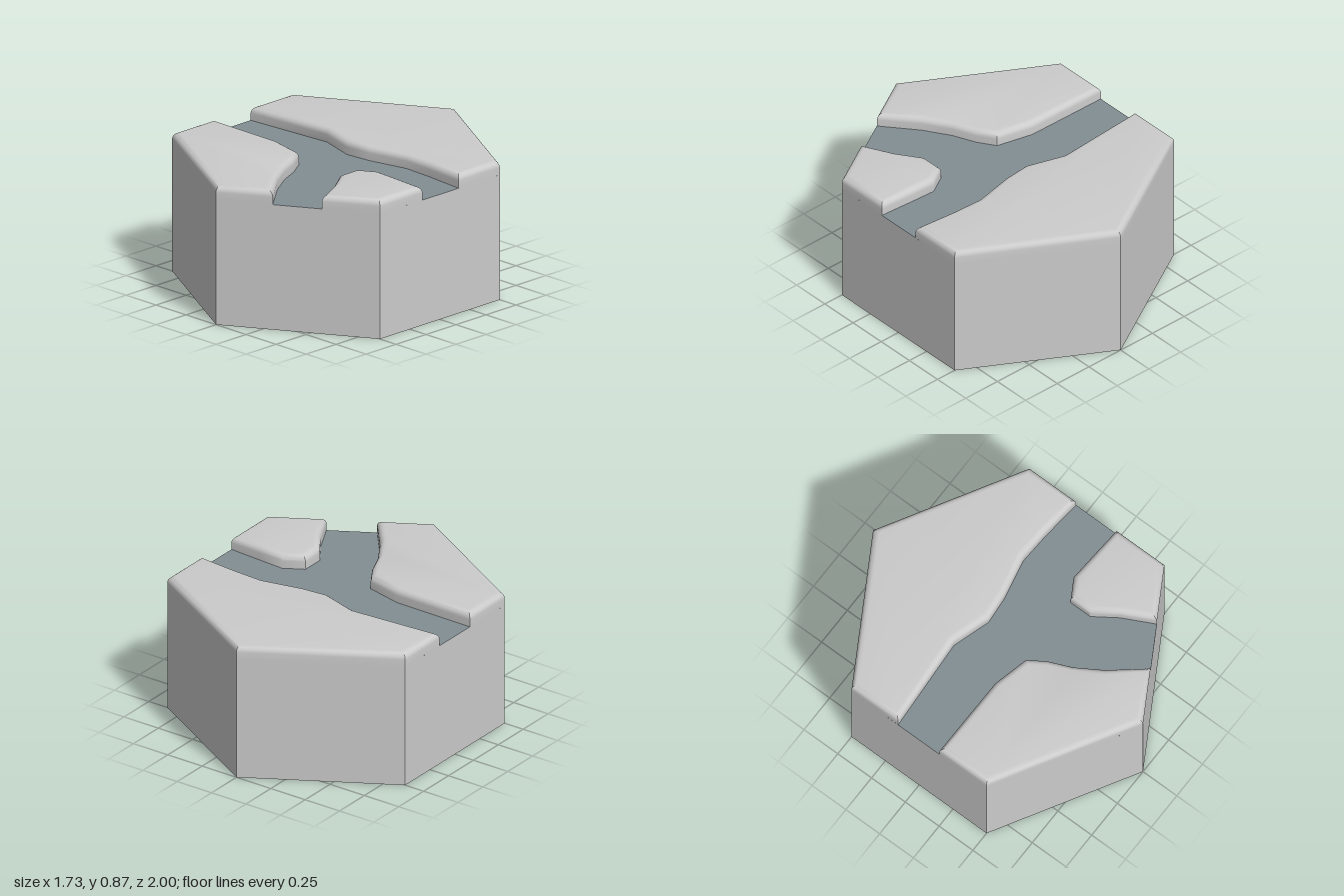
import * as THREE from 'three';
import { toCreasedNormals } from 'three/addons/utils/BufferGeometryUtils.js';

const FLOOR = 0.78, TOP = 0.866, ROUND = 0.04, W = 0.866;

// Bank lines of the forked channel, as [x, z]
const northBank = [[-W, -0.155], [-0.27, -0.195], [-0.03, -0.12], [0.14, -0.135], [0.4, -0.19], [0.6, -0.18], [W, -0.155]];
const leftBank = [[-W, 0.15], [-0.33, 0.155], [-0.1, 0.21], [-0.03, 0.32], [0.03, 0.46], [0.13, 0.62], [0.3, 0.827]];
const rightBank = [[0.56, 0.677], [0.46, 0.48], [0.36, 0.335], [0.36, 0.19], [0.48, 0.12], [0.65, 0.13], [W, 0.145]];

// Outline seen from above (v = -z), counter-clockwise
function outline(points) {
  const pts = points.map(([x, z]) => new THREE.Vector2(x, -z));
  return THREE.ShapeUtils.isClockWise(pts) ? pts.reverse() : pts;
}

// Mitred inward offset of a counter-clockwise outline
function inset(pts, d) {
  const n = pts.length;
  const inward = (a, b) => new THREE.Vector2(a.y - b.y, b.x - a.x).normalize();
  return pts.map((p, i) => {
    const n1 = inward(pts[(i + n - 1) % n], p);
    const n2 = inward(p, pts[(i + 1) % n]);
    return p.clone().addScaledVector(n1.clone().add(n2), d / (1 + n1.dot(n2)));
  });
}

// Slab with a straight wall, a rounded rim and a flat top
function slabGeometry(points) {
  const base = outline(points), n = base.length, steps = 6;
  const rings = [{ pts: base, y: FLOOR }];
  for (let s = 0; s <= steps; s++) {
    const a = (s / steps) * Math.PI / 2;
    rings.push({ pts: inset(base, ROUND * (1 - Math.cos(a))), y: TOP - ROUND * (1 - Math.sin(a)) });
  }
  const positions = [], index = [];
  rings.forEach(({ pts, y }) => pts.forEach(p => positions.push(p.x, y, -p.y)));
  for (let r = 0; r < rings.length - 1; r++) {
    for (let i = 0; i < n; i++) {
      const j = (i + 1) % n, a = r * n + i, b = r * n + j;
      index.push(a, b, b + n, a, b + n, a + n);
    }
  }
  const last = (rings.length - 1) * n;
  for (const t of THREE.ShapeUtils.triangulateShape(rings[rings.length - 1].pts, [])) {
    index.push(...t.map(k => k + last));
  }
  const geometry = new THREE.BufferGeometry();
  geometry.setAttribute('position', new THREE.Float32BufferAttribute(positions, 3));
  geometry.setIndex(index);
  return toCreasedNormals(geometry, 0.6);
}

export function createModel() {
  const group = new THREE.Group();
  const add = (name, geometry, material) => {
    const mesh = new THREE.Mesh(geometry, material);
    mesh.name = name;
    group.add(mesh);
    return mesh;
  };
  const grey = new THREE.MeshStandardMaterial({ color: 0xcccccc });
  const greyFlat = new THREE.MeshStandardMaterial({ color: 0xcccccc, flatShading: true });
  const water = new THREE.MeshStandardMaterial({ color: 0x838f94 });

  // Hexagonal block, closed below, topped by the land and river
  const profile = [[0, 0], [1, 0], [1, FLOOR]].map(([r, y]) => new THREE.Vector2(r, y));
  add('hexBase', new THREE.LatheGeometry(profile, 6), greyFlat);

  // Three raised land slabs
  add('backLand', slabGeometry([...northBank, [W, -0.5], [0, -1], [-W, -0.5]]), grey);
  add('frontRightLand', slabGeometry([...leftBank, [0, 1], [-W, 0.5]]), grey);
  add('frontLeftLand', slabGeometry([...rightBank, [W, 0.5]]), grey);

  // Flat river bed between the banks
  const bed = new THREE.Shape(outline([...leftBank, ...rightBank, ...[...northBank].reverse()]));
  const river = add('river', new THREE.ShapeGeometry(bed).rotateX(-Math.PI / 2), water);
  river.position.y = FLOOR;

  return group;
}
